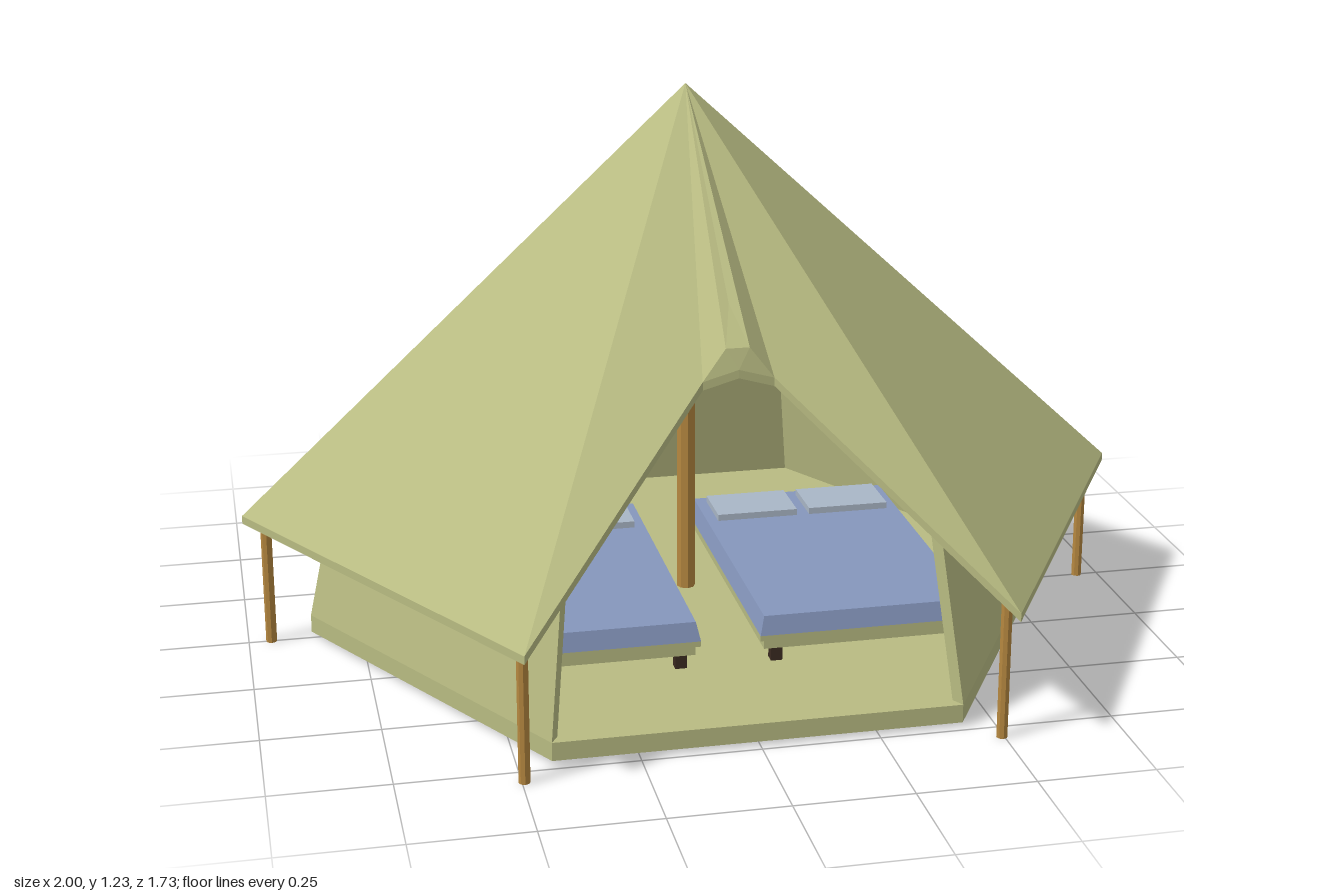
import * as THREE from 'three';

const mat = (color) => new THREE.MeshStandardMaterial({ color, flatShading: true, side: THREE.DoubleSide });
const canvas = mat(0xb8bb82);
const wood = mat(0xb5873f);
const blue = mat(0x8596bc);
const pale = mat(0xa9b6c6);
const dark = mat(0x3a2a20);

const V = (x, y, z) => new THREE.Vector3(x, y, z);
// Hexagon corner k at radius r; side 1 (corners 1 to 2) is the front
const corner = (k, r, y, z0 = 0) =>
  V(r * Math.cos(k * Math.PI / 3), y, r * Math.sin(k * Math.PI / 3) + z0);

function meshFromTriangles(name, tris, material) {
  const geo = new THREE.BufferGeometry().setFromPoints(tris);
  geo.computeVertexNormals();
  const mesh = new THREE.Mesh(geo, material);
  mesh.name = name;
  return mesh;
}

function add(parent, name, geo, material, x, y, z) {
  const mesh = new THREE.Mesh(geo, material);
  mesh.name = name;
  mesh.position.set(x, y, z);
  parent.add(mesh);
  return mesh;
}

// Thin roof shell: six hips, with the front panel lifted into a doorway arch
function makeRoof() {
  const apex = V(0, 1.225, -0.015);
  const P = [0, 1, 2, 3, 4, 5].map((k) => corner(k, 1, 0.303));
  const ridge = V(0, 0.85, 0.42), lip = V(0, 0.737, 0.517);
  const [sl, sr] = [-1, 1].map((s) => V(s * 0.025, 0.78, 0.505));
  const [tl, tr] = [-1, 1].map((s) => V(s * 0.075, 0.715, 0.515));
  const faces = [
    [apex, P[2], tl], [apex, tl, sl], [apex, sl, ridge],
    [apex, ridge, sr], [apex, sr, tr], [apex, tr, P[1]],
    [ridge, sl, sr], [sl, tl, lip], [sl, lip, sr], [sr, lip, tr],
  ];
  for (const k of [0, 2, 3, 4, 5]) faces.push([apex, P[(k + 1) % 6], P[k]]);
  const down = (p) => V(p.x, p.y - 0.018, p.z);
  const tris = [];
  for (const [a, b, c] of faces) tris.push(a, b, c, down(a), down(c), down(b));
  // Hem around the eaves and the doorway
  const hem = [P[0], P[5], P[4], P[3], P[2], tl, lip, tr, P[1]];
  hem.forEach((a, i) => {
    const b = hem[(i + 1) % hem.length];
    tris.push(b, a, down(a), b, down(a), down(b));
  });
  return meshFromTriangles('roof', tris, canvas);
}

// Five leaning wall panels, open at the front
function makeWalls() {
  const profile = [[0.86, 0.05], [0.775, 0.45], [0.745, 0.45], [0.83, 0.05]];
  const tris = [];
  const quad = (a, b, c, d) => tris.push(a, b, c, a, c, d);
  const section = (k) => profile.map(([r, y]) => corner(k, r, y, -0.01));
  for (const k of [0, 2, 3, 4, 5]) {
    const a = section(k), b = section(k + 1);
    for (let i = 0; i < 3; i++) quad(b[i], a[i], a[i + 1], b[i + 1]);
  }
  // Door jambs
  const right = section(2), left = section(1);
  quad(...right);
  quad(left[3], left[2], left[1], left[0]);
  return meshFromTriangles('walls', tris, canvas);
}

// Double bed centred on x = 0, z = 0, resting on the floor
function makeBed() {
  const bed = new THREE.Group();
  bed.name = 'bed';
  const w = 0.48, len = 0.74;
  add(bed, 'bedFrame', new THREE.BoxGeometry(w - 0.02, 0.025, len - 0.02), canvas, 0, 0.095, 0);
  add(bed, 'bedBase', new THREE.BoxGeometry(w, 0.012, len), canvas, 0, 0.111, 0);
  for (const x of [-1, 1]) for (const z of [-1, 1]) {
    add(bed, 'bedLeg', new THREE.BoxGeometry(0.025, 0.035, 0.025), dark, x * (w / 2 - 0.04), 0.067, z * (len / 2 - 0.03));
  }
  // Mattress tapering slightly towards the top
  const geo = new THREE.BoxGeometry(w, 0.042, len);
  const p = geo.attributes.position;
  for (let i = 0; i < p.count; i++) {
    if (p.getY(i) > 0) p.setXYZ(i, p.getX(i) * 0.96, p.getY(i), p.getZ(i) * 0.975);
  }
  geo.computeVertexNormals();
  add(bed, 'mattress', geo, blue, 0, 0.138, 0);
  for (const s of [-1, 1]) {
    add(bed, 'pillow', new THREE.BoxGeometry(0.19, 0.02, 0.13), pale, s * 0.11, 0.164, -len / 2 + 0.1);
  }
  return bed;
}

export function createModel() {
  const model = new THREE.Group();
  model.name = 'bellTent';
  model.add(makeRoof(), makeWalls());

  // Raised floor; rotated so corners point along x
  const floor = add(model, 'floor', new THREE.CylinderGeometry(0.86, 0.86, 0.04, 6), canvas, 0, 0.03, -0.01);
  floor.rotation.y = Math.PI / 6;

  // Poles
  add(model, 'centrePole', new THREE.CylinderGeometry(0.021, 0.021, 1.14, 8), wood, 0, 0.62, -0.01);
  const post = new THREE.CylinderGeometry(0.012, 0.012, 0.31, 8);
  for (const s of [-1, 1]) {
    add(model, 'sidePost', post, wood, s * 0.95, 0.155, 0);
    for (const z of [-1, 1]) add(model, 'cornerPost', post, wood, s * 0.495, 0.155, z * 0.795);
  }

  // Pair of beds either side of the pole
  for (const s of [-1, 1]) {
    const bed = makeBed();
    bed.position.set(s * 0.305, 0, 0.088);
    model.add(bed);
  }
  return model;
}
